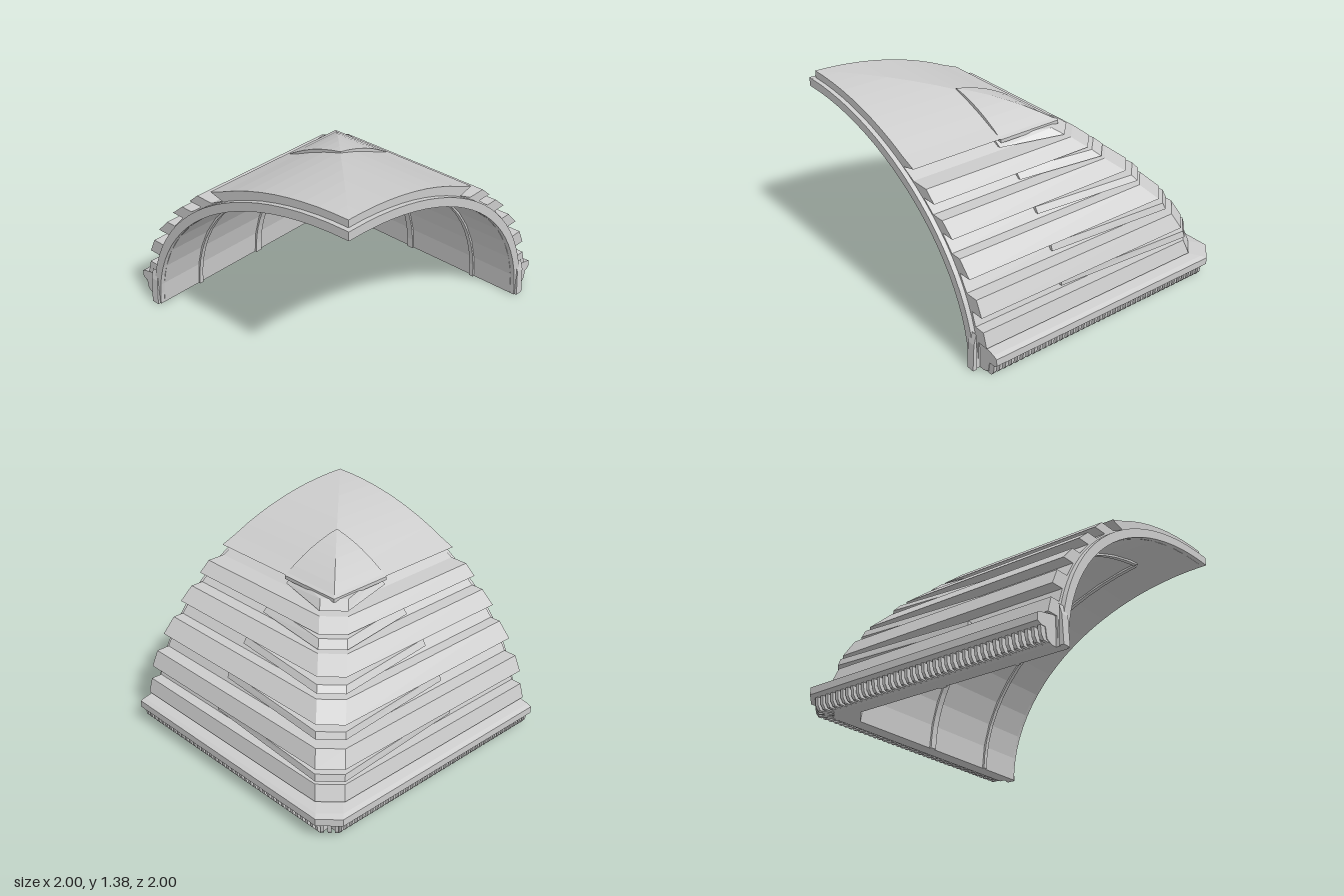
import * as THREE from 'three';

const START = -0.95;
const mat = new THREE.MeshStandardMaterial({ color: 0xcccccc, flatShading: true, side: THREE.DoubleSide });

// Quarter-ellipse arches springing from the open corner
const archY = (u, a, b) => b * Math.sqrt(Math.max(0, 1 - ((u - START) / a) ** 2));
const archU = (y, a, b) => START + a * Math.sqrt(Math.max(0, 1 - (y / b) ** 2));
const floorU = y => archU(y, 1.8, 1.335);

function archPoints(a, b, from, n) {
  const t0 = Math.acos((from - START) / a);
  return Array.from({ length: n + 1 }, (_, i) => {
    const t = t0 * (1 - i / n);
    return [START + a * Math.cos(t), b * Math.sin(t)];
  });
}

function named(name, geometry) {
  const mesh = new THREE.Mesh(geometry, mat);
  mesh.name = name;
  return mesh;
}

// Sweep a closed clockwise profile [u, y, chamfer, uAtStart] along one wing,
// around the chamfered corner and back along the other wing.
function cornerSweep(name, profile, start = START) {
  const rows = profile.map(([u, y, c = 0, u0 = u]) =>
    [[u0, start], [u, u - c], [u - c, u], [start, u0]].map(([x, v]) => [x, y, -v]));
  const pos = [];
  const n = rows.length;
  for (let i = 0; i < n; i++) {
    const a = rows[i], b = rows[(i + 1) % n];
    for (let j = 0; j < 3; j++) {
      pos.push(...a[j], ...b[j], ...a[j + 1], ...b[j], ...b[j + 1], ...a[j + 1]);
    }
  }
  // end caps
  const flat = rows.map(r => new THREE.Vector2(r[0][0], r[0][1]));
  for (const tri of THREE.ShapeUtils.triangulateShape(flat, [])) {
    const [i, j, k] = THREE.ShapeUtils.area(tri.map(q => flat[q])) > 0 ? tri : [...tri].reverse();
    pos.push(...rows[i][0], ...rows[j][0], ...rows[k][0]);
    pos.push(...rows[k][3], ...rows[j][3], ...rows[i][3]);
  }
  const g = new THREE.BufferGeometry();
  g.setAttribute('position', new THREE.Float32BufferAttribute(pos, 3));
  g.computeVertexNormals();
  return named(name, g);
}

// Flat outline in x-y given a thickness in z
function slab(points, z, depth) {
  const shape = new THREE.Shape(points.map(p => new THREE.Vector2(p[0], p[1])));
  const g = new THREE.ExtrudeGeometry(shape, { depth, bevelEnabled: false });
  return g.translate(0, 0, z);
}

export function createModel() {
  const model = new THREE.Group();
  model.name = 'domeCorner';

  // Slats: top height, top tip, bottom height, bottom tip
  const slats = [
    [1.03, 0.33, 0.96, 0.41], [0.885, 0.49, 0.80, 0.59], [0.70, 0.66, 0.60, 0.755],
    [0.49, 0.82, 0.385, 0.87], [0.29, 0.885, 0.19, 0.915],
  ];

  // Shell: smooth crown, stepped slats, then the inner vault
  const outline = archPoints(1.89, 1.38, 0.2, 0).length ? [] : [];
  for (let i = 0; i <= 10; i++) {
    const u = START + i * 0.115;
    outline.push([u, i === 10 ? 1.11 : archY(u, 1.89, 1.38)]);
  }
  outline.push([floorU(1.11) + 0.04, 1.085, 0]);
  for (const [y1, u1, y2, u2] of slats) {
    outline.push([floorU(y1), y1, 0.1], [u1, y1, 0.13], [u2, y2, 0.13], [floorU(y2), y2, 0.1]);
  }
  outline.push([0.83, 0, 0.1]);
  const vault = archPoints(1.72, 1.27, START, 12).reverse();
  vault.forEach(([u, y]) => outline.push([u, y, THREE.MathUtils.clamp((u + 0.1) * 0.2, 0, 0.12)]));
  model.add(cornerSweep('shell', outline));

  // Wedge bars emerging from the grooves towards the corner
  const bars = [
    [1.09, 0.24, 1.045, 0.30], [0.945, 0.43, 0.90, 0.475], [0.77, 0.62, 0.73, 0.65],
    [0.57, 0.775, 0.525, 0.79], [0.36, 0.88, 0.315, 0.89],
  ];
  for (const [y1, u1, y2, u2] of bars) {
    const back = floorU(y1) - 0.05;
    model.add(cornerSweep('wedgeBar', [
      [back, y1, 0.1], [u1, y1, 0.13, floorU(y1) + 0.03],
      [u2, y2, 0.13, floorU(y2) + 0.02], [back, y2, 0.1],
    ], -0.28));
  }

  // Slightly raised panel on the crown's corner
  const panel = [];
  for (let i = 0; i <= 6; i++) {
    const u = -0.28 + i * 0.08;
    panel.push([u, archY(u, 1.89, 1.38) + 0.01 + 0.013 * Math.sin(Math.PI * i / 6)]);
  }
  panel.push([0.2, 1.08], [-0.28, 1.27]);
  model.add(cornerSweep('crownPanel', panel, -0.28));

  // Base ledge and plinth
  model.add(cornerSweep('baseLedge', [
    [0.8, 0.19, 0.11], [0.86, 0.19, 0.11], [0.97, 0.168, 0.12], [1, 0.155, 0.12],
    [1, 0.105, 0.12], [0.97, 0.09, 0.12], [0.8, 0.09, 0.11],
  ], -0.94));
  model.add(cornerSweep('plinth', [
    [0.8, 0.1, 0.11], [0.93, 0.1, 0.12], [0.915, 0.02, 0.12], [0.87, 0, 0.12], [0.8, 0, 0.11],
  ], -0.94));

  // Parts of one wing, mirrored onto the other
  const rim = slab([...archPoints(1.78, 1.33, START - 0.03 + 0.03, 24),
    ...archPoints(1.72, 1.27, START, 24).reverse(), [-0.98, 1.27], [-0.98, 1.33]], 0.945, 0.037);
  const foot = slab([[-0.97, 0], [-1, 0], [-0.99, 0.19], [-0.97, 0.26]], 0, 0.06);
  foot.rotateY(Math.PI / 2).translate(0.78, 0, 0);
  const tooth = slab([[0.84, 0.1], [0.97, 0.1], [0.962, 0.035], [0.94, 0.006], [0.84, 0.006]], -0.011, 0.022);

  for (const side of ['left', 'back']) {
    const wing = new THREE.Group();
    wing.name = side + 'WingTrim';
    wing.add(named('endRim', rim), named('rimFoot', foot));
    // inner ribs, stopping where the two vaults meet
    for (const [z, w] of [[0.605, 0.03], [0.025, 0.05]]) {
      const from = -z;
      wing.add(named('vaultRib', slab([...archPoints(1.73, 1.28, from, 16),
        ...archPoints(1.705, 1.255, from, 16).reverse()], z, w)));
    }
    for (let i = 0; i < 40; i++) {
      const t = named('baseTooth', tooth);
      t.position.z = 0.925 - i * 0.0455;
      wing.add(t);
    }
    if (side === 'back') {
      wing.scale.x = -1;
      wing.rotation.y = -Math.PI / 2;
    }
    model.add(wing);
  }

  // Teeth across the chamfered corner
  const cornerTeeth = new THREE.Group();
  cornerTeeth.name = 'cornerTeeth';
  cornerTeeth.rotation.y = Math.PI / 4;
  for (const z of [-0.045, 0, 0.045]) {
    const t = named('baseTooth', tooth);
    t.position.set(0.33, 0, z);
    cornerTeeth.add(t);
  }
  model.add(cornerTeeth);
  return model;
}
